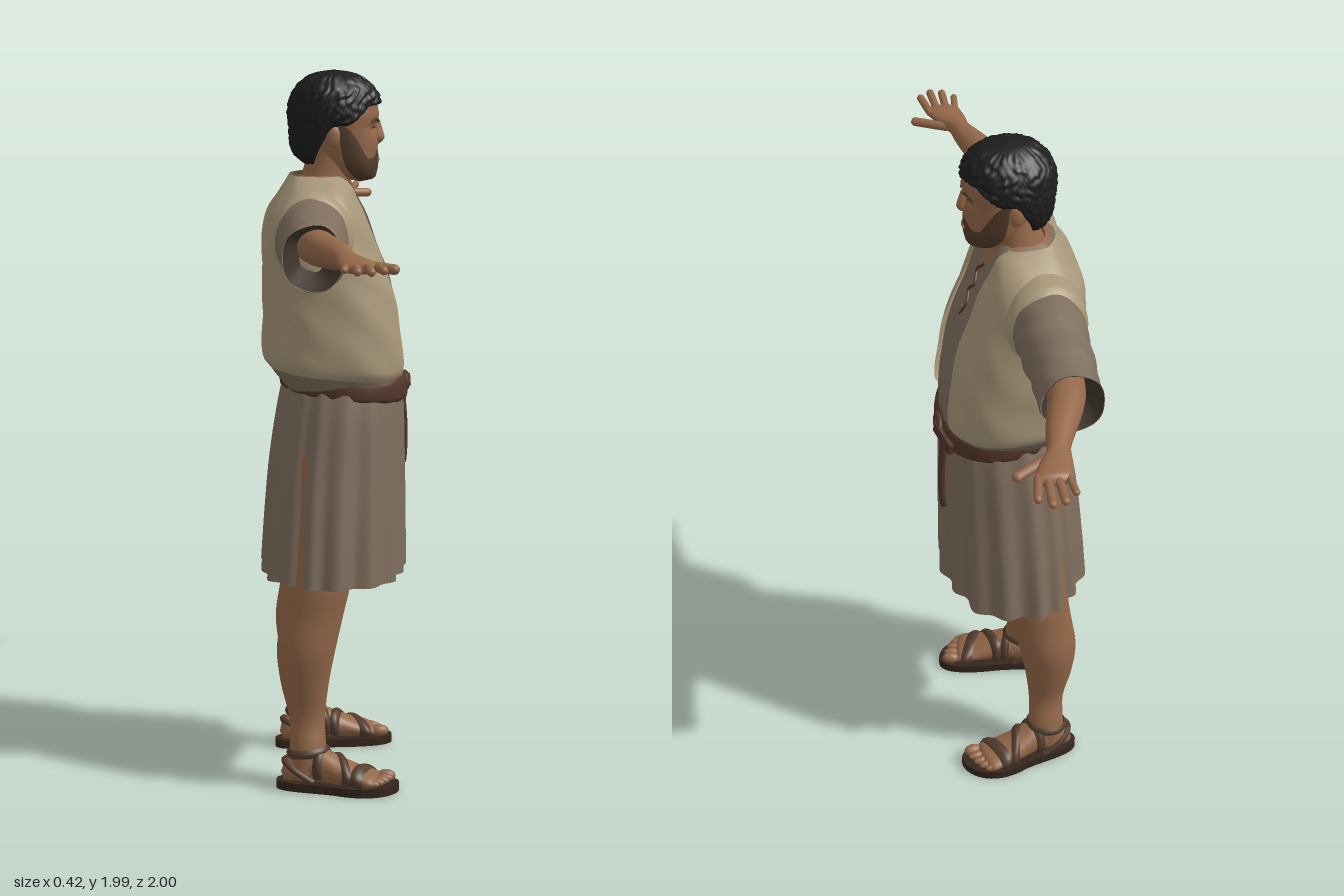
import * as THREE from 'three';
import { mergeVertices } from 'three/addons/utils/BufferGeometryUtils.js';

const PI = Math.PI;
const mat = (name, color) => new THREE.MeshStandardMaterial({ name, color, side: THREE.DoubleSide });
const lerp = THREE.MathUtils.lerp, smooth = THREE.MathUtils.smoothstep;

// Smoothly interpolate rows [t, centreA, centreB, radiusA, radiusB]
function keyAt(keys, t) {
  const n = keys.length;
  let i = 0;
  while (i < n - 2 && t > keys[i + 1][0]) i++;
  const p = keys[i], q = keys[i + 1], o = keys[i - 1] || p, r = keys[i + 2] || q;
  const h = q[0] - p[0], s = THREE.MathUtils.clamp((t - p[0]) / h, 0, 1);
  return [1, 2, 3, 4].map((c) => {
    const m0 = (q[c] - o[c]) / (q[0] - o[0]) * h, m1 = (r[c] - p[c]) / (r[0] - p[0]) * h;
    const s2 = s * s, s3 = s2 * s;
    return (2 * s3 - 3 * s2 + 1) * p[c] + (s3 - 2 * s2 + s) * m0 + (3 * s2 - 2 * s3) * q[c] + (s3 - s2) * m1;
  });
}
const spow = (v, k) => Math.sign(v) * Math.abs(v) ** k;
// Point on a cross-section; angle 0 faces front, grow widens, k squares the shape
function sec(keys, t, a, grow = 0, k = 1) {
  const [ca, cb, ra, rb] = keyAt(keys, t);
  return [ca + Math.max(0, ra + grow) * spow(Math.sin(a), k), t, cb + Math.max(0, rb + grow) * spow(Math.cos(a), k)];
}
// Skin a grid of points f(u, v) with smooth normals
function grid(nu, nv, f) {
  const pos = [], idx = [];
  for (let j = 0; j <= nv; j++) for (let i = 0; i <= nu; i++) pos.push(...f(i / nu, j / nv));
  for (let j = 0; j < nv; j++) for (let i = 0; i < nu; i++) {
    const a = j * (nu + 1) + i, b = a + 1, c = a + nu + 1, d = c + 1;
    idx.push(a, b, d, a, d, c);
  }
  let g = new THREE.BufferGeometry();
  g.setAttribute('position', new THREE.Float32BufferAttribute(pos, 3));
  g.setIndex(idx);
  g = mergeVertices(g, 1e-5);
  g.computeVertexNormals();
  return g;
}
const toX = ([x, y, z]) => [y, z, x];
const toZ = ([x, y, z]) => [z, x, y];
const same = (p) => p;
// Full loft through the key rows
function loft(keys, nu, nv, { axis = same, grow = 0, k = 1, from = keys[0][0], to = keys.at(-1)[0], bump } = {}) {
  return grid(nu, nv, (u, v) => {
    const t = lerp(from, to, v), a = u * 2 * PI;
    return axis(sec(keys, t, a, grow + (bump ? bump(a, t) : 0), k));
  });
}

export function createModel() {
  const M = {
    skin: mat('skin', 0x946849), hair: mat('black hair', 0x1d1d1e), beard: mat('beard brown', 0x513b2a),
    tunic: mat('tunic cloth', 0x7f6e5d), vest: mat('vest cloth', 0xa89779), lining: mat('dark lining', 0x40362e),
    leather: mat('belt leather', 0x50362a), strap: mat('sandal leather', 0x523c2e), sole: mat('sandal sole', 0x35261c),
  };
  const body = new THREE.Group();
  body.name = 'body';
  const add = (parent, name, geo, m) => {
    const mesh = new THREE.Mesh(geo, m);
    mesh.name = name;
    parent.add(mesh);
    return mesh;
  };
  const blob = (parent, name, m, [x, y, z], [sx, sy, sz]) =>
    add(parent, name, new THREE.SphereGeometry(1, 16, 12).scale(sx, sy, sz).translate(x, y, z), m);
  const tube = (pts, r, n = 24) =>
    new THREE.TubeGeometry(new THREE.CatmullRomCurve3(pts.map((p) => new THREE.Vector3(...p))), n, r, 6);

  // Torso clothing
  const vest = [[1.165, 0, 0, 0.232, 0.185], [1.185, 0, 0, 0.245, 0.2], [1.3, 0, -0.005, 0.248, 0.195],
    [1.42, 0, -0.02, 0.247, 0.18], [1.52, 0, -0.04, 0.247, 0.16], [1.6, 0, -0.048, 0.24, 0.138],
    [1.65, 0, -0.045, 0.21, 0.11], [1.685, 0, -0.04, 0.15, 0.092], [1.705, 0, -0.04, 0.1, 0.08]];
  const tunic = [[1.11, 0, 0.022, 0.212, 0.17], ...vest.slice(1)];
  const K = 0.8;
  // Sheet wrapped round the torso with a front gap of half-width w(y)
  const wrap = (keys, grow, from, w, tilt) => grid(96, 40, (u, v) => {
    const y = lerp(from, 1.705, v);
    const g = Math.asin(Math.min(0.98, w(y) / keyAt(keys, y)[2]) ** (1 / K));
    const a = lerp(g, 2 * PI - g, u);
    const wrinkle = 0.003 * Math.sin(5 * a + 18 * y) * Math.sin(23 * y + 2 * a);
    const p = sec(keys, y, a, grow + wrinkle, K);
    p[1] -= tilt * p[2] * (1 - smooth(y, 1.17, 1.4));
    return p;
  });
  add(body, 'vest', wrap(vest, 0, 1.165, (y) => lerp(0.115, 0.085, smooth(y, 1.2, 1.6)), 0.1), M.vest);
  add(body, 'tunicTop', wrap(tunic, -0.013, 1.11,
    (y) => 0.0003 + 0.016 * smooth(y, 1.47, 1.62) + 0.04 * smooth(y, 1.62, 1.69), 0.05), M.tunic);
  add(body, 'chest', loft(vest, 48, 16, { grow: -0.024, k: K, from: 1.4 }), M.skin);
  const front = (y, x) => { const p = sec(tunic, y, 0, -0.011, K); return [x, y, p[2]]; };
  add(body, 'neckLace', tube([1.46, 1.5, 1.53, 1.56, 1.59, 1.62].map((y, i) => front(y, i ? (i % 2 ? 0.013 : -0.013) : 0)), 0.004), M.leather);

  // Skirt of the tunic, with folds that deepen towards the hem
  const skirt = [[0.59, 0, -0.005, 0.286, 0.198], [0.75, 0, 0, 0.27, 0.194], [0.9, 0, 0.006, 0.249, 0.188],
    [1.05, 0, 0.016, 0.228, 0.177], [1.15, 0, 0.024, 0.206, 0.165]];
  const folds = (a, y) => (0.009 * Math.sin(16 * a + Math.sin(3 * a)) + 0.005 * Math.sin(7 * a + 1)) *
    lerp(1, 0.25, (y - 0.59) / 0.56);
  add(body, 'skirt', loft(skirt, 160, 20, { bump: folds, k: 0.92 }), M.tunic);
  add(body, 'skirtLining', loft(skirt, 160, 12, { bump: folds, grow: -0.005, k: 0.92, from: 0.592 }), M.lining);

  // Belt, knot and hanging end
  const belt = [[1.1, 0, 0.027, 0.205, 0.168], [1.108, 0, 0.027, 0.215, 0.178], [1.158, 0, 0.027, 0.212, 0.175], [1.166, 0, 0.027, 0.202, 0.165]];
  add(body, 'belt', grid(64, 8, (u, v) => {
    const p = sec(belt, lerp(1.1, 1.166, v), u * 2 * PI, 0, 0.92);
    p[1] -= 0.1 * p[2];
    return p;
  }), M.leather);
  blob(body, 'beltKnot', M.leather, [0.03, 1.118, 0.2], [0.045, 0.03, 0.016]);
  const loop = add(body, 'beltLoop', new THREE.BoxGeometry(0.1, 0.036, 0.014), M.leather);
  loop.position.set(0.085, 1.11, 0.196);
  loop.rotation.set(0, 0.3, -0.2);
  add(body, 'beltEnd', grid(16, 12, (u, v) => {
    const y = lerp(0.875, 1.13, v), a = u * 2 * PI, w = 0.024 * Math.min(1, 0.5 + v * 6);
    return [0.083 + w * spow(Math.sin(a), 0.5), y, 0.2 + 0.004 * Math.sin(v * 5) + 0.008 * spow(Math.cos(a), 0.5)];
  }), M.leather);

  // Neck and head
  add(body, 'neck', loft([[1.6, 0, -0.04, 0.1, 0.08], [1.68, 0, -0.028, 0.078, 0.07], [1.74, 0, -0.012, 0.07, 0.066], [1.82, 0, 0, 0.068, 0.066]], 32, 10), M.skin);
  const head = new THREE.Group();
  head.name = 'head';
  body.add(head);
  const skull = [[1.683, 0, 0.07, 0, 0], [1.692, 0, 0.066, 0.038, 0.038], [1.71, 0, 0.05, 0.06, 0.062], [1.74, 0, 0.034, 0.075, 0.083],
    [1.79, 0, 0.024, 0.084, 0.098], [1.83, 0, 0.02, 0.089, 0.1], [1.88, 0, 0.015, 0.092, 0.108],
    [1.94, 0, 0.005, 0.075, 0.09], [1.97, 0, 0, 0, 0]];
  const sockets = (a, y) => -0.008 * Math.exp(-(((y - 1.835) / 0.014) ** 2)) * Math.exp(-(((Math.abs(Math.sin(a)) - 0.4) / 0.25) ** 2)) * (Math.cos(a) > 0 ? 1 : 0);
  add(head, 'face', loft(skull, 64, 40, { bump: sockets }), M.skin);
  add(head, 'nose', grid(16, 12, (u, v) => {
    const y = lerp(1.783, 1.85, v), a = u * 2 * PI, s = Math.sin(PI * Math.min(1, v * 2.5 + 0.02) / 2) * (1 - v * 0.65);
    return [0.021 * s * Math.sin(a), y, 0.117 + 0.03 * s * Math.cos(a)];
  }), M.skin);
  add(head, 'beard', grid(48, 20, (u, v) => {
    const a = lerp(-1.65, 1.65, u), b = Math.abs(a);
    const top = 1.772 - 0.022 * smooth(b, 0.2, 0.6) + 0.09 * smooth(b, 0.75, 1.5);
    return sec(skull, lerp(1.683, top, v), a, 0.006 * Math.sin(PI * Math.min(1, 0.15 + v * 0.85)) + 0.001);
  }), M.beard);
  blob(head, 'lips', M.skin, [0, 1.745, 0.119], [0.022, 0.006, 0.008]);
  for (const s of [-1, 1]) {
    const on = (y, a, g) => sec(skull, y, s * a, g);
    add(head, 'eyebrow', tube([on(1.85, 0.16, 0.001), on(1.858, 0.4, 0.001), on(1.85, 0.68, 0.001)], 0.0045, 12), M.beard);
    add(head, 'eye', tube([on(1.833, 0.24, -0.007), on(1.836, 0.4, -0.007), on(1.831, 0.56, -0.006)], 0.0035, 10), M.beard);
    blob(head, 'ear', M.skin, [s * 0.094, 1.815, -0.005], [0.012, 0.032, 0.02]);
  }

  // Curly hair, cut round the face and ears
  const hair = [[1.73, 0, -0.035, 0.07, 0.06], [1.78, 0, -0.018, 0.098, 0.1], [1.83, 0, -0.002, 0.113, 0.122],
    [1.88, 0, 0.002, 0.115, 0.129], [1.93, 0, 0.003, 0.104, 0.117], [1.965, 0, 0.002, 0.074, 0.085], [1.983, 0, 0, 0.04, 0.046], [1.99, 0, 0, 0, 0]];
  add(head, 'hair', grid(112, 44, (u, v) => {
    const a = lerp(-PI, PI, u), b = Math.abs(a);
    const low = 1.892 - 0.05 * smooth(b, 0.6, 1.3) - 0.108 * smooth(b, 1.55, 2.1);
    const y = lerp(low, 1.99, 1 - (1 - v) ** 1.4);
    const curls = 0.004 * Math.sin(22 * a + 2 * Math.sin(90 * y)) * Math.sin(150 * y + 2 * Math.sin(9 * a));
    return sec(hair, y, a, curls * (1 - smooth(y, 1.975, 1.99)) - 0.016 * (1 - smooth(v, 0, 0.06)));
  }), M.hair);

  // One arm and one leg, used on both sides
  const side = (s) => {
    const g = new THREE.Group();
    g.name = s > 0 ? 'leftLimbs' : 'rightLimbs';
    g.scale.x = s;

    // Sleeve and armhole; rows are [x, z, y, radiusZ, radiusY]
    const sleeve = [[0.12, -0.06, 1.55, 0.1, 0.12], [0.24, -0.064, 1.55, 0.098, 0.114], [0.33, -0.066, 1.55, 0.093, 0.105],
      [0.45, -0.066, 1.547, 0.086, 0.096], [0.57, -0.066, 1.545, 0.083, 0.089]];
    const crease = (a, x) => 0.004 * Math.sin(55 * x + 2 * a) * Math.sin(3 * a + 14 * x);
    add(g, 'sleeve', loft(sleeve, 48, 28, { axis: toX, bump: crease }), M.tunic);
    add(g, 'sleeveLining', grid(48, 6, (u, v) => toX(sec(sleeve, lerp(0.57, 0.48, v), u * 2 * PI, crease(u * 2 * PI, 0.57) - 0.002 - 0.045 * v))), M.lining);
    add(g, 'armhole', loft([[0.1, -0.06, 1.55, 0.1, 0.115], [0.18, -0.062, 1.55, 0.11, 0.126], [0.238, -0.064, 1.55, 0.108, 0.122],
      [0.25, -0.064, 1.55, 0.096, 0.11]], 48, 10, { axis: toX }), M.vest);

    // Forearm and palm
    add(g, 'arm', loft([[0.45, -0.062, 1.565, 0.052, 0.05], [0.57, -0.05, 1.57, 0.05, 0.046], [0.65, -0.028, 1.571, 0.046, 0.041],
      [0.72, -0.006, 1.57, 0.038, 0.034], [0.78, 0.01, 1.568, 0.031, 0.026], [0.83, 0.026, 1.567, 0.043, 0.021],
      [0.88, 0.04, 1.566, 0.049, 0.018], [0.905, 0.045, 1.566, 0.043, 0.012], [0.912, 0.046, 1.566, 0, 0]], 32, 32, { axis: toX }), M.skin);
    const finger = (name, p, q, r) => {
      const a = new THREE.Vector3(...p), b = new THREE.Vector3(...q), d = b.clone().sub(a);
      const m = add(g, name, new THREE.CapsuleGeometry(r, d.length() - r, 5, 10), M.skin);
      m.position.copy(a).addScaledVector(d, 0.5);
      m.quaternion.setFromUnitVectors(new THREE.Vector3(0, 1, 0), d.normalize());
    };
    [[0.006, -0.002, 0.958], [0.031, 0.03, 0.988], [0.056, 0.064, 0.995], [0.079, 0.096, 0.97]].forEach(([z0, z1, x], i) =>
      finger('finger', [0.875, 1.567, z0], [x, 1.569, z1], i ? 0.0112 : 0.0095));
    finger('thumb', [0.8, 1.562, 0.04], [0.858, 1.556, 0.132], 0.0135);

    // Leg
    const leg = [[0.05, 0.205, -0.085, 0.04, 0.048], [0.12, 0.2, -0.078, 0.044, 0.05], [0.2, 0.182, -0.08, 0.044, 0.05], [0.3, 0.184, -0.086, 0.06, 0.067],
      [0.4, 0.186, -0.082, 0.077, 0.082], [0.5, 0.187, -0.064, 0.073, 0.086], [0.58, 0.185, -0.05, 0.077, 0.09], [0.95, 0.13, -0.02, 0.1, 0.11]];
    add(g, 'leg', loft(leg, 36, 36), M.skin);
    add(g, 'ankleStrap', grid(36, 4, (u, v) => {
      const p = sec(leg, lerp(0.098, 0.122, v), u * 2 * PI, 0.004 + 0.006 * Math.sin(PI * v));
      p[1] += 0.1 * (p[2] + 0.08);
      return p;
    }), M.strap);

    // Foot and sandal, turned slightly outwards; foot rows are [z, y, x, radiusY, radiusX]
    const foot = new THREE.Group();
    foot.name = 'foot';
    foot.position.set(0.2, 0, -0.085);
    foot.rotation.y = 0.2;
    g.add(foot);
    const fk = [[-0.07, 0.045, 0, 0, 0], [-0.06, 0.048, 0, 0.025, 0.028], [-0.02, 0.062, 0, 0.042, 0.042], [0.04, 0.07, 0, 0.05, 0.044],
      [0.1, 0.056, 0.004, 0.039, 0.05], [0.16, 0.043, 0.006, 0.026, 0.057], [0.205, 0.037, 0.006, 0.016, 0.054], [0.215, 0.036, 0.006, 0, 0]];
    add(foot, 'footTop', loft(fk, 32, 28, { axis: toZ }), M.skin);
    [[-0.038, 0.236, 0.017], [-0.012, 0.232, 0.012], [0.012, 0.225, 0.012], [0.033, 0.216, 0.0115], [0.052, 0.204, 0.0105]].forEach(([x, z, r]) =>
      blob(foot, 'toe', M.skin, [x, 0.037, z - 0.012], [r, r, 0.026]));
    const outline = new THREE.Shape();
    outline.moveTo(0, -0.083);
    outline.bezierCurveTo(0.055, -0.083, 0.045, 0.02, 0.058, 0.09);
    outline.bezierCurveTo(0.095, 0.2, 0.035, 0.26, -0.02, 0.262);
    outline.bezierCurveTo(-0.075, 0.262, -0.07, 0.17, -0.054, 0.09);
    outline.bezierCurveTo(-0.04, 0.02, -0.055, -0.083, 0, -0.083);
    // The shape's y becomes z, so it is drawn flipped and turned face up
    const soleGeo = new THREE.ExtrudeGeometry(outline, { depth: 0.024, bevelEnabled: false, curveSegments: 14 });
    add(foot, 'sole', soleGeo.rotateX(PI / 2).translate(0, 0.024, 0), M.sole);
    const band = (name, z, w, lean) => add(foot, name, grid(28, 6, (u, v) => {
      const a = lerp(-0.6, PI + 0.6, u);
      const t = z + w * (v - 0.5) + lean * Math.cos(a);
      const p = toZ(sec(fk, t, a, 0.002 + 0.007 * Math.sin(PI * v)));
      p[1] = Math.max(p[1], 0.018);
      return p;
    }), M.strap);
    band('toeStrap', 0.165, 0.034, -0.012);
    band('instepStrap', 0.105, 0.028, 0.022);
    band('upperStrap', 0.05, 0.026, -0.01);
    // Heel strap
    add(foot, 'heelStrap', tube([[0.047, 0.03, 0.03], [0.046, 0.06, -0.02], [0.025, 0.078, -0.052], [0, 0.08, -0.06],
      [-0.025, 0.078, -0.052], [-0.046, 0.06, -0.02], [-0.047, 0.03, 0.03]], 0.009, 30), M.strap);
    return g;
  };
  body.add(side(1), side(-1));

  // The figure looks along +x with its arms along z
  body.rotation.y = PI / 2;
  const model = new THREE.Group();
  model.name = 'robedMan';
  model.add(body);
  return model;
}
